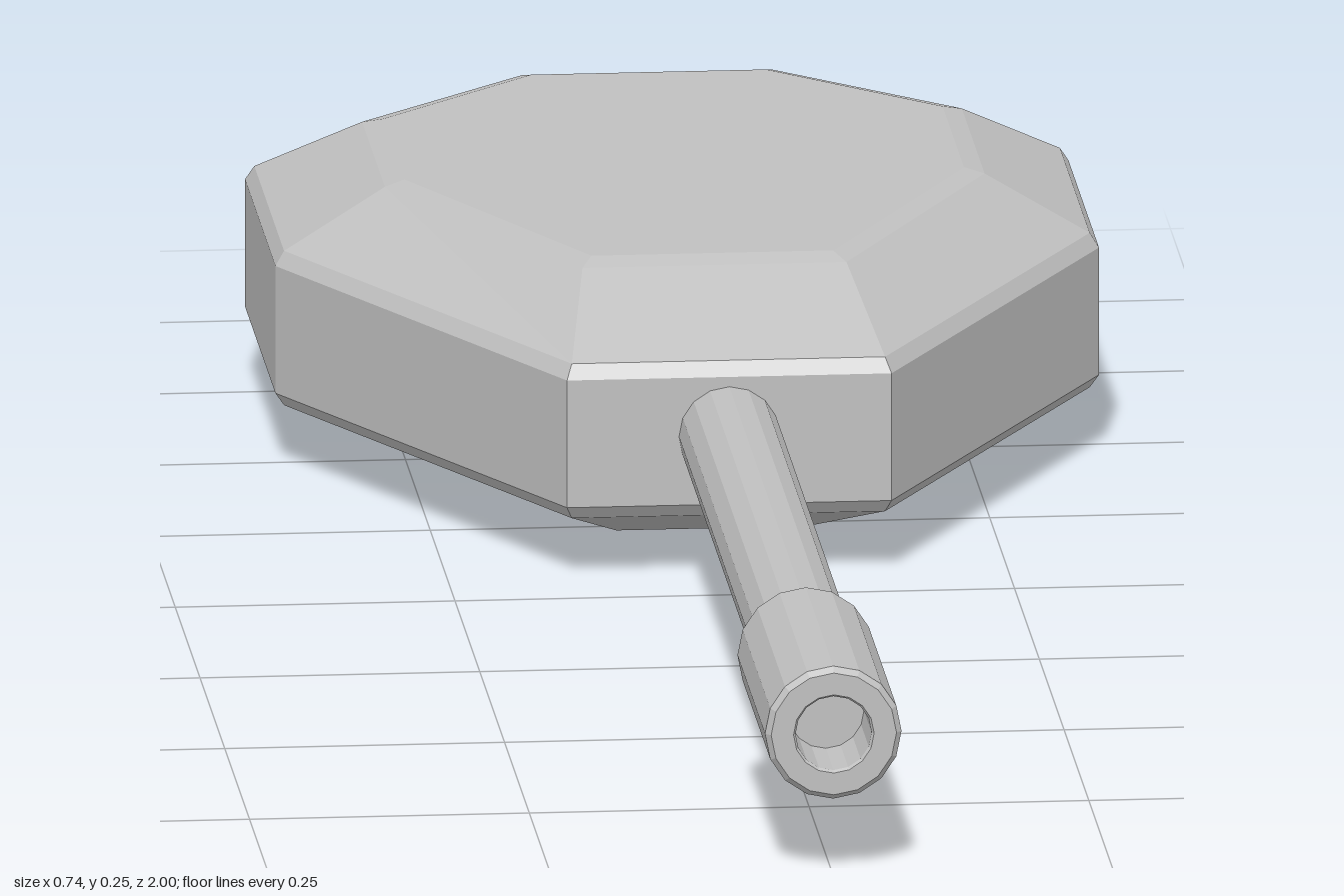
import * as THREE from 'three';

// Eight-cornered outline from four (x, z) points on the +x side, back to front
function outline(half) {
  return [...half, ...half.slice().reverse().map(([x, z]) => [-x, z])];
}

// Flat-sided solid through stacked outlines, capped at both ends
function loft(levels) {
  const rings = levels.map(([y, pts]) => pts.map(([x, z]) => [x, y, z]));
  const n = rings[0].length;
  const pos = [];
  const tri = (a, b, c) => pos.push(...a, ...b, ...c);
  for (let k = 0; k < rings.length - 1; k++) {
    const lo = rings[k], hi = rings[k + 1];
    for (let i = 0; i < n; i++) {
      const j = (i + 1) % n;
      tri(lo[i], hi[i], hi[j]);
      tri(lo[i], hi[j], lo[j]);
    }
  }
  const bottom = rings[0], top = rings[rings.length - 1];
  for (let i = 1; i < n - 1; i++) {
    tri(bottom[0], bottom[i], bottom[i + 1]);
    tri(top[0], top[i + 1], top[i]);
  }
  const geo = new THREE.BufferGeometry();
  geo.setAttribute('position', new THREE.Float32BufferAttribute(pos, 3));
  geo.computeVertexNormals();
  return geo;
}

export function createModel() {
  const group = new THREE.Group();
  const grey = new THREE.MeshStandardMaterial({ color: 0xc0c0c0 });
  const axisY = 0.132;

  const add = (name, geo) => {
    const mesh = new THREE.Mesh(geo, grey);
    mesh.name = name;
    group.add(mesh);
    return mesh;
  };

  // Faceted head with narrow softened edges
  const rim = outline([[0.155, -1], [0.368, -0.787], [0.368, -0.48], [0.145, -0.055]]);
  const rimIn = outline([[0.151, -0.991], [0.36, -0.783], [0.36, -0.483], [0.14, -0.064]]);
  const crownOut = outline([[0.112, -0.886], [0.268, -0.735], [0.268, -0.505], [0.118, -0.205]]);
  const crown = outline([[0.105, -0.868], [0.25, -0.725], [0.25, -0.51], [0.108, -0.228]]);
  const base = outline([[0.1, -0.845], [0.236, -0.71], [0.236, -0.515], [0.085, -0.235]]);
  add('head', loft([
    [0, base], [0.057, rimIn], [0.069, rim], [0.186, rim],
    [0.199, rimIn], [0.25, crownOut], [0.255, crown],
  ]));

  // Turned parts along the z axis: profile of (radius, z)
  const turned = (name, profile) => {
    const geo = new THREE.LatheGeometry(profile.map(([r, z]) => new THREE.Vector2(r, z)), 16);
    geo.rotateX(Math.PI / 2);
    const flat = geo.toNonIndexed();
    flat.computeVertexNormals();
    add(name, flat).position.y = axisY;
  };

  // Shaft starts inside the head and ends inside the grip
  turned('shaft', [[0, -0.2], [0.045, -0.2], [0.045, 0.73], [0, 0.73]]);

  // Grip sleeve with a recessed round hole in its end
  turned('grip', [
    [0, 0.71], [0.056, 0.71], [0.061, 0.716], [0.061, 0.994],
    [0.056, 1], [0.036, 1], [0.034, 0.997], [0.034, 0.92], [0, 0.92],
  ]);

  return group;
}
